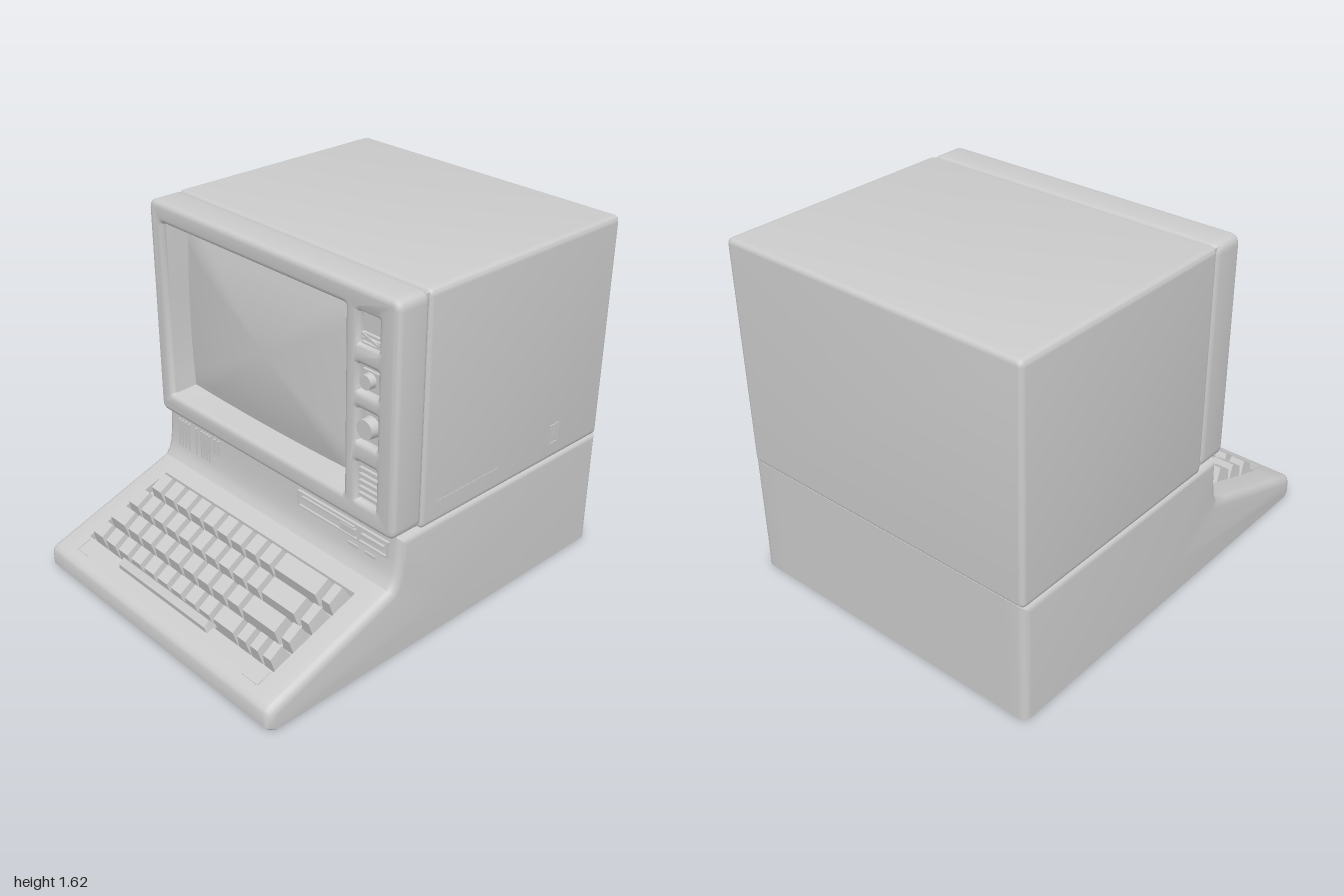
import * as THREE from 'three';
import { toCreasedNormals } from 'three/addons/utils/BufferGeometryUtils.js';

const grey = new THREE.MeshStandardMaterial({ color: 0xcccccc });
const SLOPE = 0.351;
const slopeY = z => 0.335 - (z - 0.33) * SLOPE;

function add(parent, name, geometry, x = 0, y = 0, z = 0) {
  const mesh = new THREE.Mesh(geometry, grey);
  mesh.name = name;
  mesh.position.set(x, y, z);
  parent.add(mesh);
  return mesh;
}
const box = (parent, name, w, h, d, x, y, z) =>
  add(parent, name, new THREE.BoxGeometry(w, h, d), x, y, z);

// Skin between closed rings of [x, y, z]; optional centre points cap the ends
function loft(rings, startCap, endCap, crease = 0.6) {
  const pos = [];
  const tri = (...pts) => pts.forEach(p => pos.push(...p));
  const n = rings[0].length;
  for (let j = 0; j < n; j++) {
    const k = (j + 1) % n;
    for (let i = 0; i < rings.length - 1; i++) {
      const [r, s] = [rings[i], rings[i + 1]];
      tri(r[j], r[k], s[k]);
      tri(r[j], s[k], s[j]);
    }
    if (startCap) tri(startCap, rings[0][k], rings[0][j]);
    const last = rings[rings.length - 1];
    if (endCap) tri(endCap, last[j], last[k]);
  }
  const g = new THREE.BufferGeometry();
  g.setAttribute('position', new THREE.Float32BufferAttribute(pos, 3));
  g.computeVertexNormals();
  return toCreasedNormals(g, crease);
}

function roundRect(x0, x1, y0, y1, r, Type = THREE.Shape) {
  const s = new Type();
  s.moveTo(x0 + r, y0);
  s.lineTo(x1 - r, y0).quadraticCurveTo(x1, y0, x1, y0 + r);
  s.lineTo(x1, y1 - r).quadraticCurveTo(x1, y1, x1 - r, y1);
  s.lineTo(x0 + r, y1).quadraticCurveTo(x0, y1, x0, y1 - r);
  s.lineTo(x0, y0 + r).quadraticCurveTo(x0, y0, x0 + r, y0);
  return s;
}

// Solid from z0 to z1 with rounded front and back edges
function slab(shape, z0, z1, bevel) {
  const g = new THREE.ExtrudeGeometry(shape, {
    depth: z1 - z0 - 2 * bevel, bevelThickness: bevel, bevelSize: bevel,
    bevelOffset: -bevel, bevelSegments: 4, curveSegments: 5,
  });
  g.translate(0, 0, z0 + bevel);
  return toCreasedNormals(g, 0.6);
}

// Rectangle outline whose sides bow outwards, counter-clockwise
function barrel(x0, x1, y0, y1, bowX, bowY, z) {
  const pts = [], n = 10;
  const corners = [[x0, y0], [x1, y0], [x1, y1], [x0, y1]];
  const out = [[0, -bowY], [bowX, 0], [0, bowY], [-bowX, 0]];
  corners.forEach((a, i) => {
    const b = corners[(i + 1) % 4];
    for (let k = 0; k < n; k++) {
      const t = k / n, bow = 4 * t * (1 - t);
      pts.push([a[0] + (b[0] - a[0]) * t + out[i][0] * bow, a[1] + (b[1] - a[1]) * t + out[i][1] * bow, z]);
    }
  });
  return pts;
}

// Side profile swept across x, with rounded ends and a sunken keyboard well
function baseGeometry() {
  const well = [0.86, 0.415];
  const ring = (x, inset, sink) => {
    const p = [[0.985, 0], [-1, 0], [-1, 0.572], [0.288, 0.572], [0.293, 0.47], [0.303, 0.4],
      [0.315, 0.362], [0.335, slopeY(0.335)],
      [well[1], slopeY(well[1])], [well[1], slopeY(well[1]) - sink],
      [well[0], slopeY(well[0]) - sink], [well[0], slopeY(well[0])],
      [0.975, slopeY(0.975)], [0.992, 0.097], [1, 0.08], [1, 0.015]];
    return p.map(([z, y]) => [x, y < 0.05 ? y : y - inset, z - Math.sign(z) * inset]);
  };
  const R = 0.035, X = 0.77, steps = 5, left = [], right = [];
  for (let i = 0; i <= steps; i++) {
    const a = (i / steps) * Math.PI / 2;
    const x = X - R * (1 - Math.cos(a)), inset = R * (1 - Math.sin(a));
    left.push(ring(-x, inset, 0));
    right.unshift(ring(x, inset, 0));
  }
  const middle = [ring(-0.645, 0, 0), ring(-0.645, 0, 0.04), ring(0.64, 0, 0.04), ring(0.64, 0, 0)];
  return loft([...left, ...middle, ...right], [-X, 0.15, 0], [X, 0.15, 0]);
}

// Key cap: tapered block, its top tilted with the back edge higher
function keyGeometry(w, h, d) {
  const g = new THREE.BoxGeometry(w, h, d), p = g.attributes.position;
  for (let i = 0; i < p.count; i++) {
    if (p.getY(i) < 0) continue;
    const back = p.getZ(i) < 0;
    p.setX(i, p.getX(i) - Math.sign(p.getX(i)) * 0.012);
    p.setZ(i, p.getZ(i) + (back ? 0.022 : -0.006));
    p.setY(i, p.getY(i) + (back ? 0.008 : -0.01));
  }
  g.translate(0, h / 2, 0);
  g.computeVertexNormals();
  return g;
}

function buildKeyboard() {
  const keyboard = new THREE.Group();
  keyboard.name = 'keyboard';
  const angle = Math.atan(SLOPE);
  keyboard.rotation.x = angle;
  keyboard.position.set(0, slopeY(0.65), 0.65);
  const local = z => (z - 0.65) / Math.cos(angle);
  const key = (x0, x1, z, d, h = 0.082, y = -0.038, name = 'key') =>
    add(keyboard, name, keyGeometry(x1 - x0 - 0.006, h, d), (x0 + x1) / 2, y, local(z));
  // Each row: z, depth, first x, end of the regular keys, then wide keys
  const rows = [
    [0.478, 0.112, -0.61, 0.26, 9, [[0.26, 0.545], [0.555, 0.63]]],
    [0.592, 0.112, -0.635, 0.31, 10, [[0.31, 0.54], [0.555, 0.63]]],
    [0.7, 0.104, -0.5, 0.31, 8, [[-0.635, -0.5], [0.31, 0.54], [0.555, 0.63]]],
    [0.802, 0.098, -0.535, 0.24, 8, [[-0.635, -0.535], [0.24, 0.395], [0.395, 0.475], [0.475, 0.55], [0.555, 0.63]]],
  ];
  for (const [z, d, x0, x1, n, extra] of rows) {
    const w = (x1 - x0) / n;
    for (let i = 0; i < n; i++) key(x0 + i * w, x0 + (i + 1) * w, z, d);
    extra.forEach(([a, b]) => key(a, b, z, d));
  }
  key(-0.37, 0.265, 0.868, 0.06, 0.045, -0.01, 'spaceBar');
  // Corner marks on the deck
  for (const s of [-1, 1]) {
    box(keyboard, 'deckMark', 0.09, 0.004, 0.006, s * 0.585, 0.001, local(0.935));
    box(keyboard, 'deckMark', 0.006, 0.004, 0.07, s * 0.63, 0.001, local(0.9));
  }
  return keyboard;
}

function buildMonitor() {
  const monitor = new THREE.Group();
  monitor.name = 'monitor';
  add(monitor, 'housing', slab(roundRect(-0.765, 0.765, 0.56, 1.62, 0.03), -1, 0.168, 0.022));
  box(monitor, 'seamFiller', 1.508, 1.02, 0.1, 0, 1.098, 0.14);

  // Front bezel with the screen opening and four control recesses
  const bezel = roundRect(-0.765, 0.765, 0.577, 1.62, 0.045);
  bezel.holes.push(roundRect(-0.677, 0.475, 0.68, 1.522, 0.008, THREE.Path));
  const recesses = [[1.385, 1.515], [1.182, 1.295], [0.957, 1.103], [0.682, 0.86]];
  for (const [a, b] of recesses) bezel.holes.push(roundRect(0.551, 0.657, a, b, 0.004, THREE.Path));
  add(monitor, 'bezel', slab(bezel, 0.166, 0.332, 0.025));

  // Sloping surround and bulging tube face
  const inner = barrel(-0.648, 0.455, 0.703, 1.463, 0.018, 0.012, 0.21);
  add(monitor, 'screenSurround', loft([barrel(-0.677, 0.475, 0.68, 1.522, 0, 0, 0.308), inner]));
  const [cx, cy] = [-0.097, 1.083];
  const rings = [1, 0.85, 0.7, 0.5, 0.25].map(s =>
    inner.map(([x, y]) => [cx + (x - cx) * s, cy + (y - cy) * s, 0.21 + 0.05 * (1 - s * s)]));
  add(monitor, 'screen', loft(rings, null, [cx, cy, 0.26], 1.2));

  // Controls
  box(monitor, 'controlFloor', 0.15, 0.9, 0.1, 0.604, 1.098, 0.25);
  const knob = (r, y) => {
    const g = new THREE.CylinderGeometry(r * 0.92, r, 0.045, 16);
    g.rotateX(Math.PI / 2);
    add(monitor, 'knob', toCreasedNormals(g, 0.6), 0.604, y, 0.32);
  };
  box(monitor, 'knobPlate', 0.085, 0.075, 0.014, 0.604, 1.24, 0.305);
  knob(0.034, 1.24);
  knob(0.047, 1.032);
  box(monitor, 'knobPointer', 0.012, 0.012, 0.02, 0.59, 1.095, 0.305);
  for (const y of [1.385, 1.405, 1.425]) box(monitor, 'topSwitchBar', 0.1, 0.01, 0.02, 0.604, y, 0.305);
  box(monitor, 'topSwitch', 0.1, 0.01, 0.02, 0.604, 1.412, 0.31).rotation.z = -0.3;
  for (let i = 0; i < 6; i++) box(monitor, 'louvre', 0.11, 0.014, 0.022, 0.604, 0.705 + i * 0.03, 0.304);

  // Rim and latch of the opening on the left side, and a long crease
  for (const s of [-1, 1]) {
    box(monitor, 'sideSlotRim', 0.01, 0.008, 0.055, 0.764, 0.69 + s * 0.045, -0.67);
    box(monitor, 'sideSlotRim', 0.01, 0.098, 0.008, 0.764, 0.69, -0.67 + s * 0.024);
  }
  box(monitor, 'sideLatch', 0.008, 0.05, 0.02, 0.763, 0.69, -0.67);
  box(monitor, 'sideCrease', 0.006, 0.006, 0.39, 0.764, 0.665, -0.105);
  return monitor;
}

function buildFrontPanel() {
  const panel = new THREE.Group();
  panel.name = 'frontPanel';
  // Upright vent ribs
  const ribs = [-0.675, -0.652, -0.628, -0.603, -0.548, -0.51, -0.49, -0.47, -0.45, -0.412, -0.385];
  ribs.forEach((x, i) => {
    const h = i > 8 ? 0.08 : 0.15;
    box(panel, 'ventRib', 0.009, h, 0.02, x, 0.54 - h / 2, 0.293);
  });
  // Disk drive frame, slot and latch
  for (const y of [0.463, 0.533]) box(panel, 'driveFrame', 0.545, 0.008, 0.024, 0.437, y, 0.292);
  for (const x of [0.168, 0.54, 0.706]) box(panel, 'driveFrame', 0.008, 0.076, 0.024, x, 0.498, 0.292);
  box(panel, 'driveSlot', 0.32, 0.012, 0.016, 0.35, 0.508, 0.293);
  box(panel, 'driveLatch', 0.09, 0.032, 0.024, 0.475, 0.49, 0.293);
  box(panel, 'driveButton', 0.13, 0.018, 0.022, 0.62, 0.497, 0.293);
  for (const x of [0.51, 0.61]) box(panel, 'indicator', 0.06, 0.014, 0.02, x, 0.426, 0.295);
  return panel;
}

export function createModel() {
  const model = new THREE.Group();
  model.name = 'desktopComputer';
  add(model, 'base', baseGeometry());
  model.add(buildKeyboard(), buildMonitor(), buildFrontPanel());
  return model;
}
